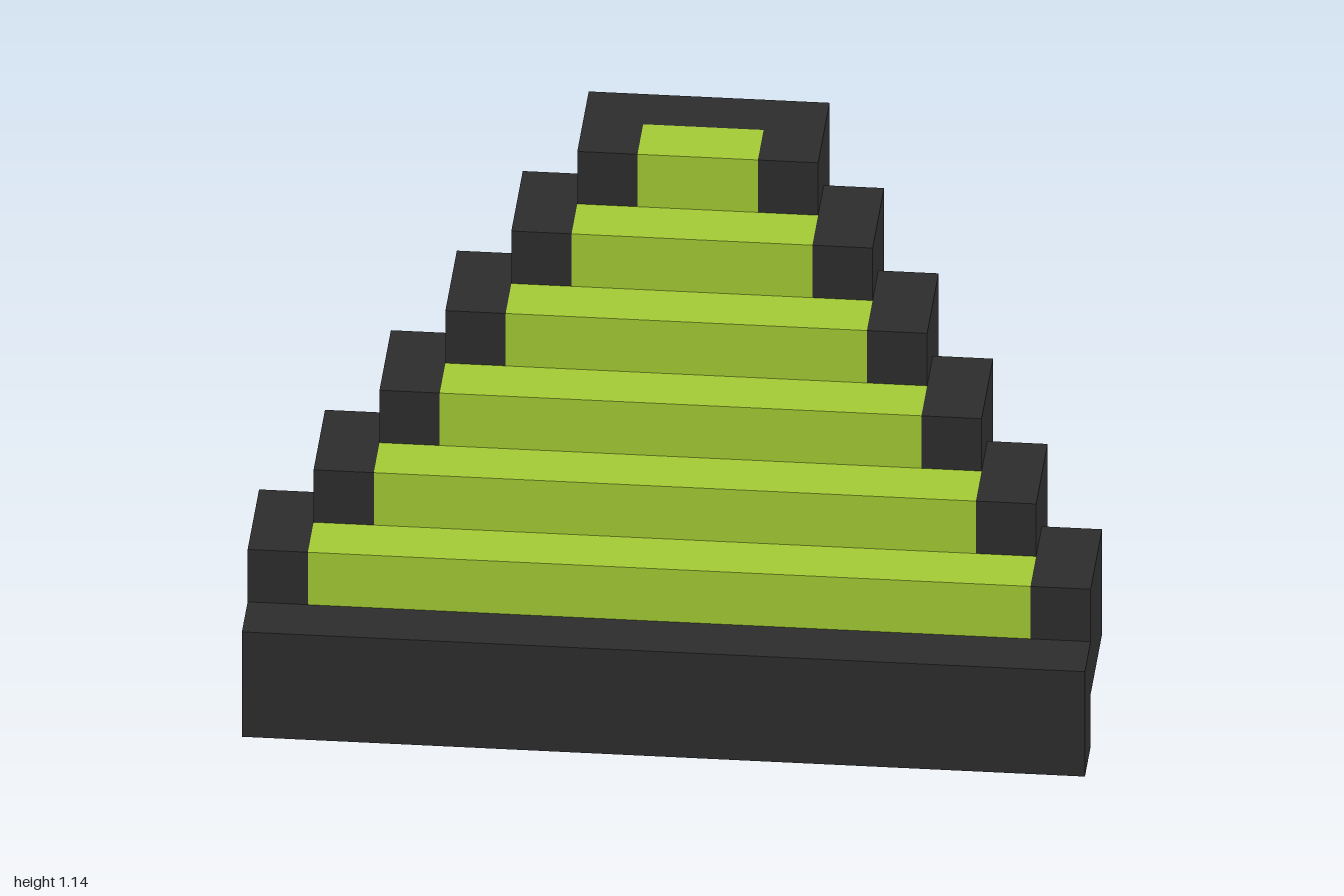
import * as THREE from 'three';

const U = 1 / 7; // one grid unit: the rise and run of each step
const STEPS = 6;

const charcoal = new THREE.MeshStandardMaterial({ color: 0x2d2d2d });
charcoal.name = 'charcoal';
const lime = new THREE.MeshStandardMaterial({ color: 0xa4cb35 });
lime.name = 'lime';

// Box given by its extents in grid units
function block(name, material, [x0, x1], [y0, y1], [z0, z1]) {
  const mesh = new THREE.Mesh(
    new THREE.BoxGeometry((x1 - x0) * U, (y1 - y0) * U, (z1 - z0) * U),
    material
  );
  mesh.position.set((x0 + x1) / 2, (y0 + y1) / 2, (z0 + z1) / 2).multiplyScalar(U);
  mesh.name = name;
  return mesh;
}

export function createModel() {
  const model = new THREE.Group();
  model.name = 'taperedStaircase';

  // Plain front curb
  model.add(block('frontCurb', charcoal, [-7, 7], [0, 2], [3, 4]));

  // Each step rises and recedes one unit and is one unit narrower per side
  for (let i = 0; i < STEPS; i++) {
    const step = new THREE.Group();
    step.name = `step${i + 1}`;
    const half = 7 - i, inner = half - 1;
    const bottom = 1 + i, front = 3 - i;

    // Side cheeks
    step.add(block('leftCheek', charcoal, [inner, half], [bottom, bottom + 2], [front - 2, front]));
    step.add(block('rightCheek', charcoal, [-half, -inner], [bottom, bottom + 2], [front - 2, front]));
    // Supporting slab, reaching back under the next step
    step.add(block('underSlab', charcoal, [-inner, inner], [bottom, bottom + 1], [front - 2, front]));
    // Coloured tread and riser
    step.add(block('tread', lime, [-inner, inner], [bottom + 1, bottom + 2], [front - 1, front]));
    // The top step is closed at the back
    if (i === STEPS - 1) {
      step.add(block('backCurb', charcoal, [-inner, inner], [bottom + 1, bottom + 2], [front - 2, front - 1]));
    }
    model.add(step);
  }
  return model;
}
